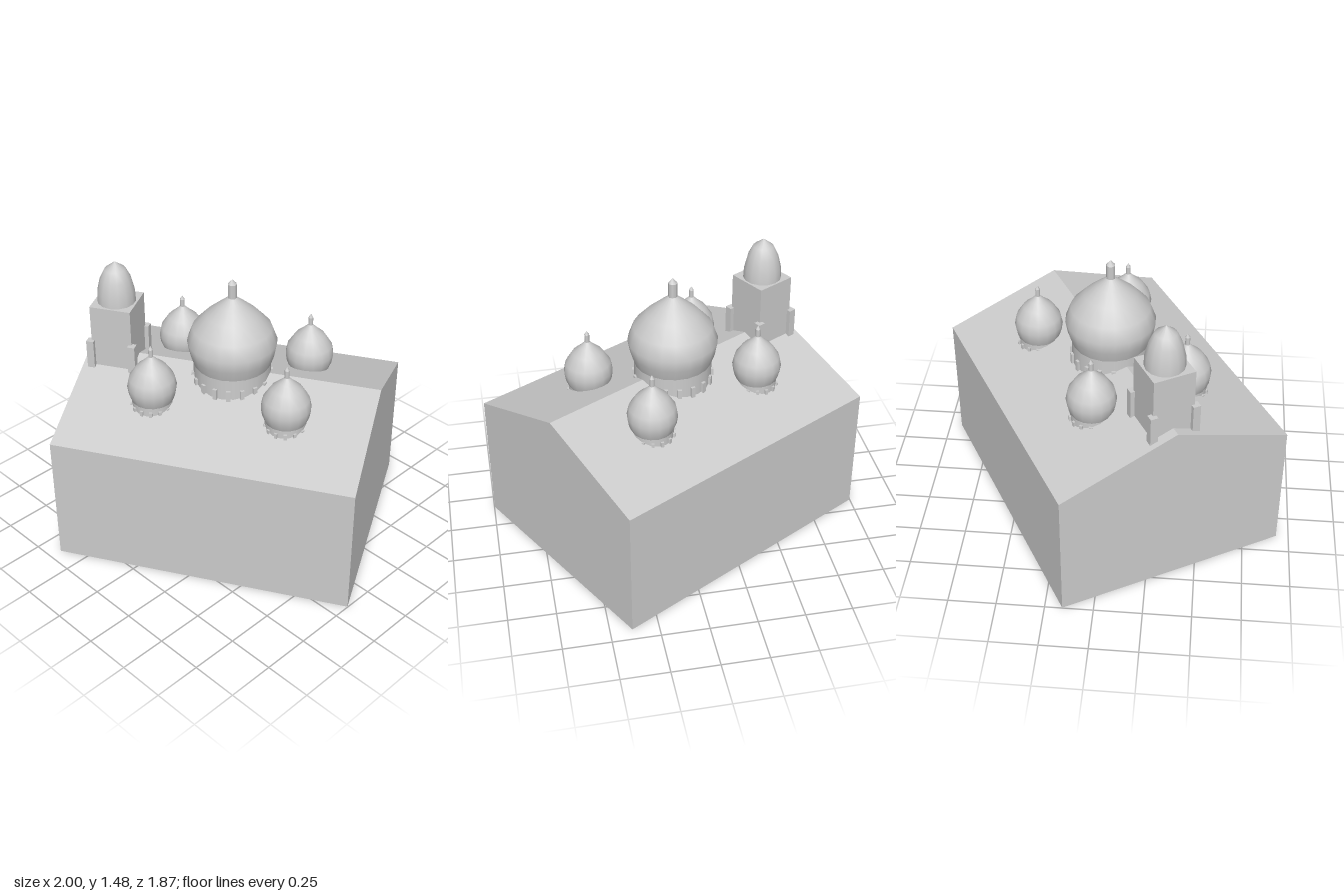
import * as THREE from 'three';

const stone = new THREE.MeshStandardMaterial({ color: 0xcccccc, side: THREE.DoubleSide });
stone.name = 'pale stone';

function add(parent, name, geometry, x = 0, y = 0, z = 0) {
  const mesh = new THREE.Mesh(geometry, stone);
  mesh.name = name;
  mesh.position.set(x, y, z);
  parent.add(mesh);
  return mesh;
}

const lathe = (points, sides) =>
  new THREE.LatheGeometry(points.map(([r, y]) => new THREE.Vector2(r, y)), sides);

// Gabled hall, open underneath
function buildHall() {
  const hall = new THREE.Group();
  hall.name = 'hall';
  const L = 0.793, W = 0.626;
  const section = [[-W, 0], [-W, 0.72], [0, 0.94], [W, 0.72], [W, 0]];
  const names = ['backWall', 'backRoof', 'frontRoof', 'frontWall'];
  names.forEach((name, i) => {
    const [z0, y0] = section[i], [z1, y1] = section[i + 1];
    const g = new THREE.BufferGeometry();
    g.setAttribute('position', new THREE.Float32BufferAttribute(
      [-L, y0, z0, -L, y1, z1, L, y1, z1, L, y0, z0], 3));
    g.setIndex([0, 1, 2, 0, 2, 3]);
    g.computeVertexNormals();
    add(hall, name, g);
  });
  const gable = new THREE.Shape(section.map(([z, y]) => new THREE.Vector2(z, y)));
  for (const s of [-1, 1]) {
    add(hall, 'gableWall', new THREE.ShapeGeometry(gable), s * L).rotation.y = s * Math.PI / 2;
  }
  return hall;
}

// Onion dome on a drum ringed with small ribs and topped by a finial
function buildDome(name, x, z, o) {
  const dome = new THREE.Group();
  dome.name = name;
  dome.position.set(x, 0, z);
  const h = o.profile[0][1] - o.base;
  add(dome, 'drum', new THREE.CylinderGeometry(o.drum, o.drum, h, o.sides), 0, o.base + h / 2);
  add(dome, 'onion', lathe(o.profile, o.sides));
  for (let i = 0; i < o.ribs; i++) {
    const a = (i + 0.5) / o.ribs * Math.PI * 2;
    const rh = o.ribTop - o.base;
    add(dome, 'rib', new THREE.BoxGeometry(o.rib, rh, o.rib),
      Math.sin(a) * o.drum, o.base + rh / 2, Math.cos(a) * o.drum).rotation.y = a;
  }
  const [y0, y1, y2] = o.finial;
  add(dome, 'finialStem', new THREE.CylinderGeometry(o.stem, o.stem, y1 - y0, 8), 0, (y0 + y1) / 2);
  add(dome, 'finialTip', new THREE.ConeGeometry(o.stem, y2 - y1, 8), 0, (y1 + y2) / 2);
  return dome;
}

const bigDome = {
  sides: 20, base: 0.8, drum: 0.204, ribs: 18, rib: 0.022, ribTop: 0.925, stem: 0.024,
  profile: [[0.204, 0.985], [0.224, 1.045], [0.236, 1.112], [0.207, 1.19], [0.137, 1.266], [0.075, 1.32], [0.015, 1.37]],
  finial: [1.355, 1.44, 1.467],
};
const smallDome = {
  sides: 16, base: 0.73, drum: 0.108, ribs: 14, rib: 0.016, ribTop: 0.835, stem: 0.013,
  profile: [[0.108, 0.855], [0.122, 0.89], [0.129, 0.935], [0.119, 0.985], [0.08, 1.045], [0.04, 1.08], [0.01, 1.11]],
  finial: [1.095, 1.15, 1.172],
};

// Square tower with corner buttresses and a pointed cap
function buildTower() {
  const tower = new THREE.Group();
  tower.name = 'tower';
  tower.position.x = -0.629;
  add(tower, 'shaft', new THREE.BoxGeometry(0.222, 1.25, 0.222), 0, 0.625);
  for (const sx of [-1, 1]) for (const sz of [-1, 1]) {
    add(tower, 'buttress', new THREE.BoxGeometry(0.04, 1.052, 0.04), sx * 0.114, 0.526, sz * 0.114);
  }
  add(tower, 'cap', lathe(
    [[0.102, 1.25], [0.099, 1.31], [0.082, 1.38], [0.055, 1.435], [0, 1.477]], 14));
  return tower;
}

export function createModel() {
  const model = new THREE.Group();
  model.name = 'domedHall';
  model.rotation.y = 0.51;
  model.add(buildHall(), buildTower(), buildDome('mainDome', 0, 0, bigDome));
  for (const sx of [-1, 1]) for (const sz of [-1, 1]) {
    model.add(buildDome('cornerDome', sx * 0.356, sz * 0.265, smallDome));
  }
  const root = new THREE.Group();
  root.name = 'building';
  root.add(model);
  return root;
}
